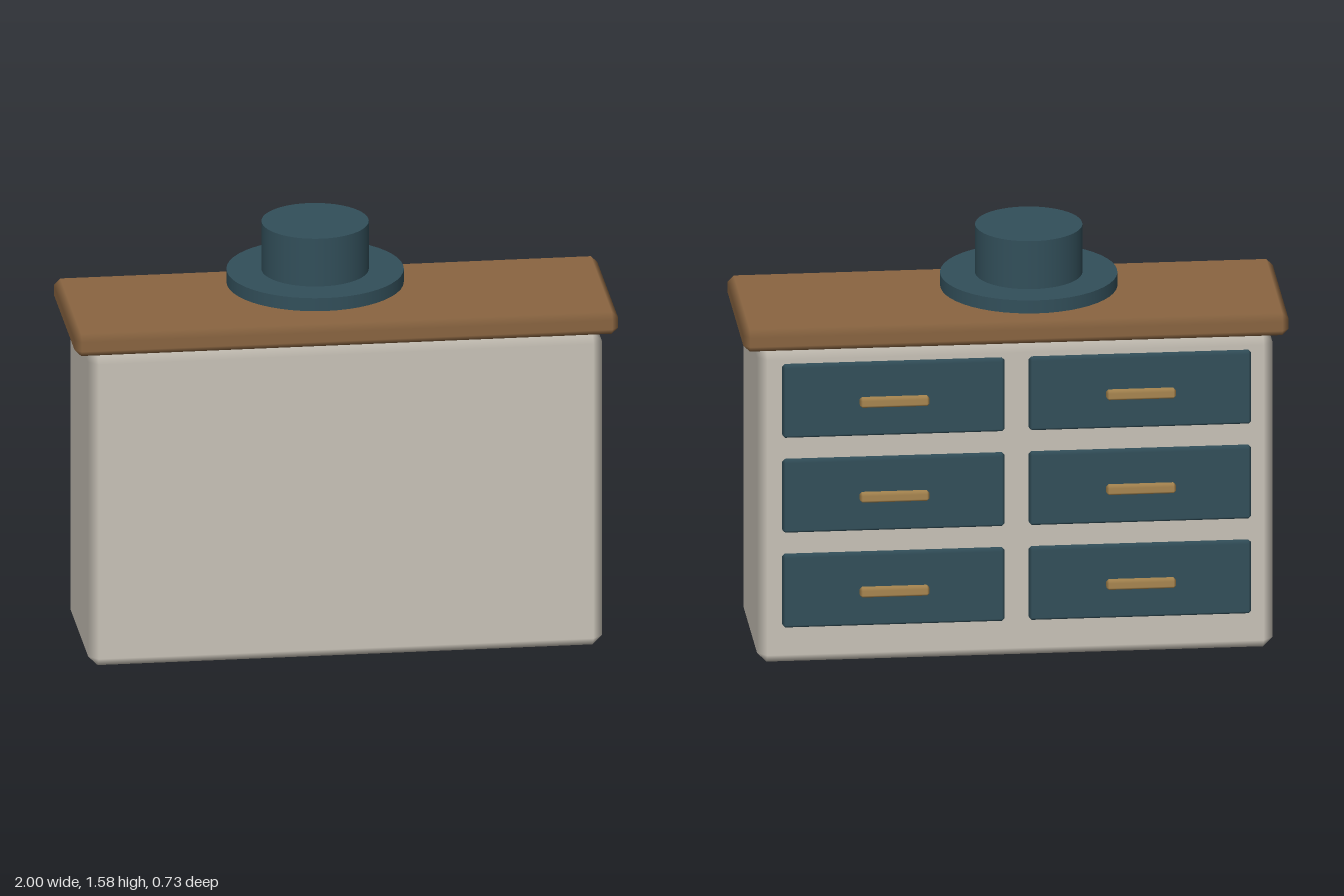
import * as THREE from 'three';
import { ConvexGeometry } from 'three/addons/geometries/ConvexGeometry.js';

const paint = (name, color) => Object.assign(new THREE.MeshStandardMaterial({ color }), { name });

// Box with one bevel step on every edge, shaded softly across the bevels
function bevelBox(w, h, d, b) {
  const half = [w / 2, h / 2, d / 2];
  const points = [];
  for (const sx of [-1, 1]) for (const sy of [-1, 1]) for (const sz of [-1, 1]) {
    for (let axis = 0; axis < 3; axis++) {
      const p = half.map((v, i) => (i === axis ? v : v - b));
      points.push(new THREE.Vector3(p[0] * sx, p[1] * sy, p[2] * sz));
    }
  }
  const geometry = new ConvexGeometry(points);
  const pos = geometry.attributes.position;
  const normal = geometry.attributes.normal;
  // Each corner takes the normal of the main face it belongs to
  for (let i = 0; i < pos.count; i++) {
    const p = [pos.getX(i), pos.getY(i), pos.getZ(i)];
    const n = p.map((v, k) => (Math.abs(v) > half[k] - b / 2 ? Math.sign(v) : 0));
    normal.setXYZ(i, ...n);
  }
  return geometry;
}

export function createModel() {
  const model = new THREE.Group();
  model.name = 'dresserWithHat';

  const cream = paint('cream paint', 0xc9c3b8);
  const wood = paint('brown wood', 0x8a6541);
  const teal = paint('dark teal', 0x324f5a);
  const brass = paint('brass', 0xa88650);

  const add = (name, geometry, material, x, y, z, parent = model) => {
    const mesh = new THREE.Mesh(geometry, material);
    mesh.name = name;
    mesh.position.set(x, y, z);
    parent.add(mesh);
    return mesh;
  };

  // Cabinet and its overhanging top
  add('cabinet', bevelBox(1.89, 1.21, 0.592, 0.035), cream, 0, 0.605, 0.034);
  add('topBoard', bevelBox(2, 0.085, 0.66, 0.024), wood, 0, 1.2575, 0.031);

  // Two columns of three drawers, each with a bar handle
  const drawerFront = bevelBox(0.815, 0.28, 0.035, 0.01);
  const handleBar = bevelBox(0.255, 0.036, 0.036, 0.009);
  for (const side of [-1, 1]) {
    for (let row = 0; row < 3; row++) {
      const drawer = new THREE.Group();
      drawer.name = 'drawer';
      drawer.position.set(side * 0.452, 0.298 + row * 0.366, 0);
      add('drawerFront', drawerFront, teal, 0, 0, -0.3025, drawer);
      add('drawerHandle', handleBar, brass, 0, 0, -0.347, drawer);
      model.add(drawer);
    }
  }

  // Flat-topped hat above the board
  const hat = new THREE.Group();
  hat.name = 'hat';
  hat.position.set(-0.073, 0, 0);
  add('hatBrim', new THREE.CylinderGeometry(0.324, 0.324, 0.05, 48), teal, 0, 1.37, 0, hat);
  add('hatCrown', new THREE.CylinderGeometry(0.196, 0.196, 0.19, 48), teal, 0, 1.485, 0, hat);
  model.add(hat);

  return model;
}
